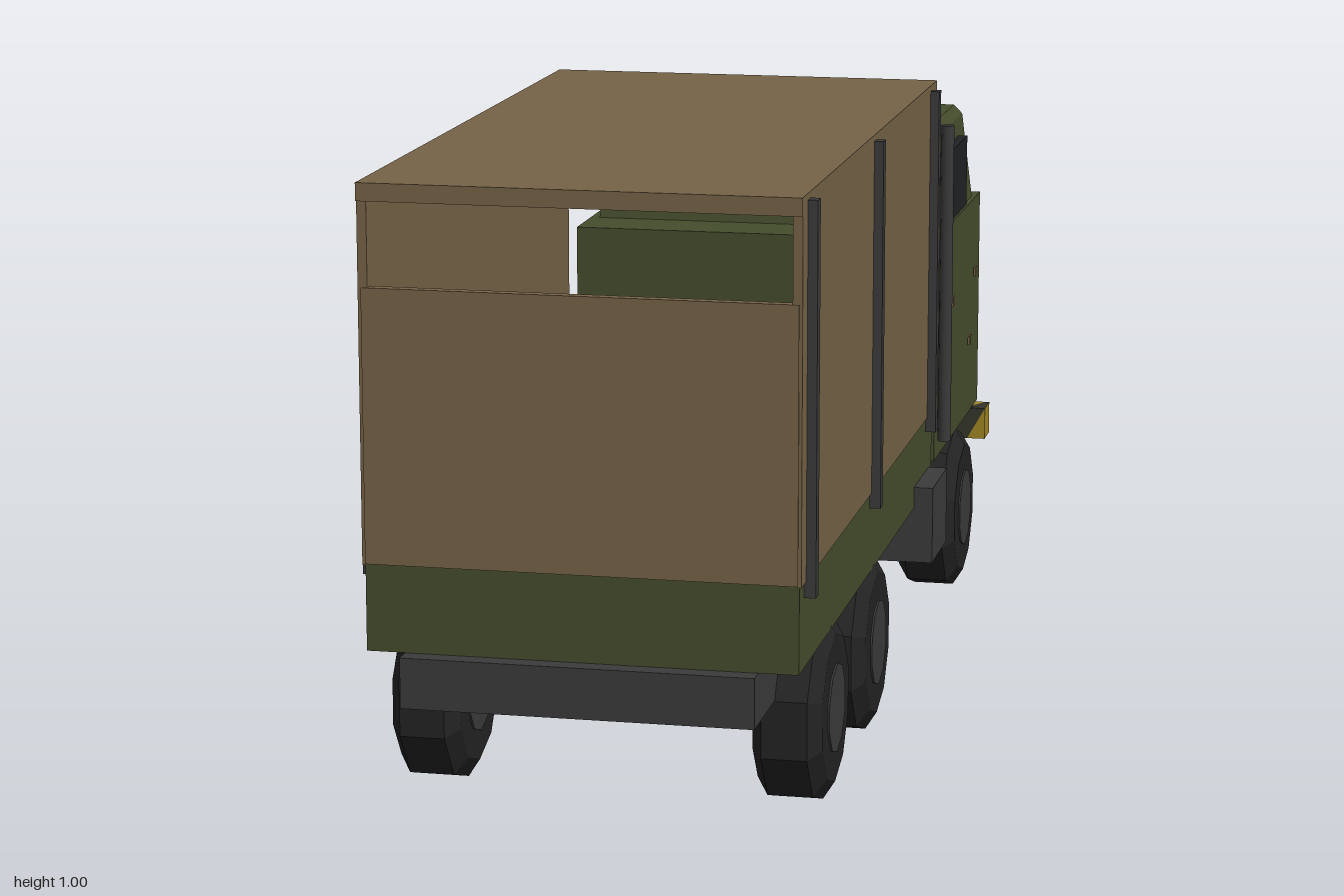
import * as THREE from 'three';

const CX = 0.012; // lateral centre of the truck body

const mat = (name, color) => {
  const m = new THREE.MeshStandardMaterial({ color });
  m.name = name;
  return m;
};

export function createModel() {
  const root = new THREE.Group();
  root.name = 'cargoTruck';
  const green = mat('olive paint', 0x454d2d);
  const canvas = mat('tan canvas', 0x756347);
  const grey = mat('dark grey metal', 0x3b3b3c);
  const rubber = mat('tyre rubber', 0x232324);
  const glass = mat('dark glass', 0x202123);
  const yellow = mat('hazard yellow', 0xa08723);
  const black = mat('hazard dark', 0x34352a);
  for (const m of [rubber]) m.flatShading = true;

  const add = (name, geo, material, x = 0, y = 0, z = 0) => {
    const mesh = new THREE.Mesh(geo, material);
    mesh.name = name;
    mesh.position.set(x, y, z);
    root.add(mesh);
    return mesh;
  };
  // Box given by its lower and upper corners
  const box = (name, material, x0, x1, y0, y1, z0, z1) =>
    add(name, new THREE.BoxGeometry(x1 - x0, y1 - y0, z1 - z0), material,
      (x0 + x1) / 2, (y0 + y1) / 2, (z0 + z1) / 2);

  // Chassis and cargo bed
  box('chassis', grey, -0.265, 0.285, 0.195, 0.275, -0.94, 1);
  box('cargoBed', green, -0.325, 0.347, 0.275, 0.412, -0.3, 0.97);

  // Canvas cover: two sides, roof and a rear panel with a gap above; open at the front
  box('coverSideRight', canvas, -0.33, -0.315, 0.41, 0.985, -0.3, 0.97);
  box('coverSideLeft', canvas, 0.335, 0.35, 0.41, 0.985, -0.3, 0.97);
  box('coverRoof', canvas, -0.33, 0.35, 0.972, 1, -0.3, 0.975);
  box('coverRear', canvas, -0.325, 0.345, 0.412, 0.84, 0.955, 0.972);
  for (const z of [0.92, 0.34, -0.24]) {
    for (const s of [-1, 1]) {
      const x = CX + s * 0.343;
      box('coverPost', grey, x - 0.01, x + 0.01, 0.385, 0.99, z - 0.011, z + 0.011);
    }
  }

  // Cab: lower body and tapered, chamfered upper part
  box('cabBody', green, -0.322, 0.338, 0.295, 0.7, -0.93, -0.39);
  // Stacked rectangles: y, half width, front z, back z
  const rings = [
    [0.695, 0.318, -0.88, -0.498],
    [0.862, 0.302, -0.848, -0.53],
    [0.88, 0.288, -0.836, -0.543],
  ];
  const corners = rings.map(([y, w, f, b]) =>
    [[-w, y, b], [w, y, b], [w, y, f], [-w, y, f]]);
  const pos = [];
  const quad = (a, b, c, d) => pos.push(...a, ...b, ...c, ...a, ...c, ...d);
  for (let r = 0; r < 2; r++) {
    for (let i = 0; i < 4; i++) {
      const j = (i + 1) % 4;
      quad(corners[r][i], corners[r][j], corners[r + 1][j], corners[r + 1][i]);
    }
  }
  quad(...corners[2]);
  const cabTop = new THREE.BufferGeometry();
  cabTop.setAttribute('position', new THREE.Float32BufferAttribute(pos, 3));
  cabTop.computeVertexNormals();
  add('cabTop', cabTop, green, CX);

  // Windows and grille
  const screen = add('windscreen', new THREE.BoxGeometry(0.555, 0.115, 0.014), glass, CX - 0.005, 0.785, -0.878);
  screen.rotation.x = -0.24;
  box('windscreenSill', green, -0.29, 0.31, 0.7, 0.718, -0.89, -0.86);
  for (const s of [-1, 1]) {
    const x = CX + s * 0.312;
    box('sideWindow', glass, x - 0.01, x + 0.01, 0.692, 0.83, -0.782, -0.532);
  }
  box('grille', grey, -0.31, 0.328, 0.275, 0.437, -0.948, -0.93);

  // Rust flecks on the cab sides
  for (const s of [-1, 1]) {
    for (const [y, z] of [[0.555, -0.575], [0.56, -0.855], [0.44, -0.515], [0.44, -0.79]]) {
      const x = CX + s * 0.33;
      box('rustFleck', canvas, x - 0.002, x + 0.002, y - 0.009, y + 0.009, z - 0.009, z + 0.009);
    }
  }

  // Bumper made of slanted alternating blocks, trimmed at both ends
  const x0 = -0.335, x1 = 0.352, w = 0.043, slant = 0.035;
  for (let i = -2; i < 18; i++) {
    const geo = new THREE.BoxGeometry(w, 0.06, 0.06);
    const p = geo.attributes.position;
    const mid = x0 + (i + 0.5) * w;
    for (let k = 0; k < p.count; k++) {
      const shift = (p.getY(k) - p.getZ(k)) / 0.06 * slant;
      p.setX(k, THREE.MathUtils.clamp(mid + p.getX(k) + shift, x0, x1));
    }
    geo.computeVertexNormals();
    add('bumperStripe', geo, i % 2 ? black : yellow, 0, 0.245, -0.97);
  }

  // Wheels: ten-sided tyres with a grey hub
  const profile = [[0, -0.055], [0.12, -0.055], [0.15, -0.036], [0.15, 0.036], [0.12, 0.055], [0, 0.055]]
    .map(([r, h]) => new THREE.Vector2(r, h));
  const tyre = new THREE.LatheGeometry(profile, 10, Math.PI / 2).rotateZ(Math.PI / 2);
  const hub = new THREE.CylinderGeometry(0.072, 0.072, 0.116, 10, 1, false, Math.PI / 2).rotateZ(Math.PI / 2);
  for (const z of [0.7, 0.31, -0.655]) {
    for (const s of [-1, 1]) {
      add('tyre', tyre, rubber, CX + s * 0.288, 0.148, z);
      add('hub', hub, grey, CX + s * 0.288, 0.148, z);
    }
  }

  // Side equipment
  box('toolBox', grey, 0.27, 0.38, 0.178, 0.312, -0.27, -0.11);
  const tank = new THREE.CylinderGeometry(0.07, 0.07, 0.25, 12).rotateX(Math.PI / 2);
  add('fuelTank', tank, grey, -0.262, 0.257, -0.188);
  add('exhaustPipe', new THREE.CylinderGeometry(0.012, 0.012, 0.575, 8), grey, 0.353, 0.617, -0.411);
  box('mirror', grey, -0.385, -0.315, 0.655, 0.72, -0.892, -0.878);

  return root;
}
